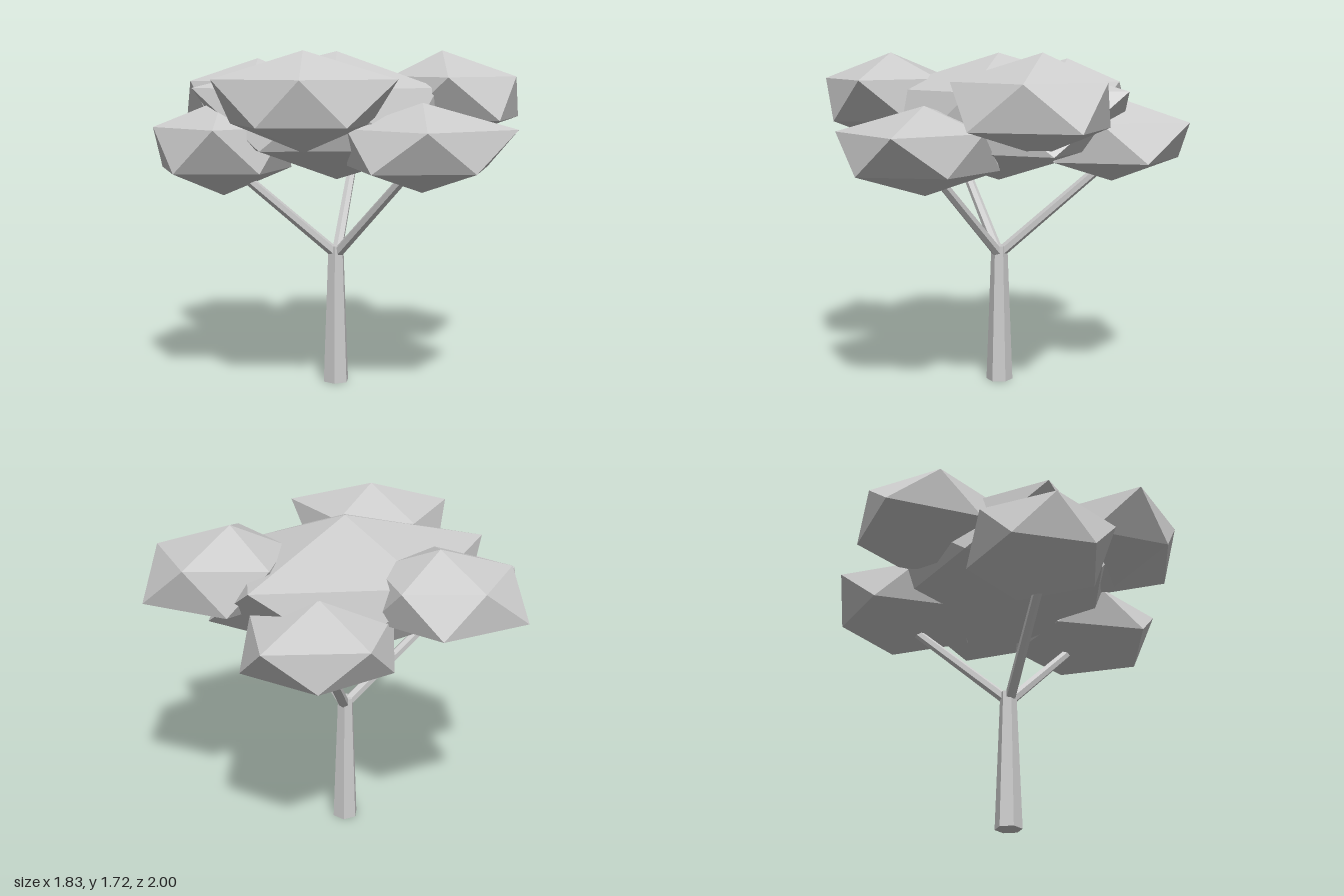
import * as THREE from 'three';

const grey = new THREE.MeshStandardMaterial({ color: 0xcccccc, flatShading: true });
grey.name = 'grey';

// Squashed, uneven icosahedron: radii run round in 36 degree steps,
// alternating between the upper and the lower ring.
function leafClump(x, y, z, h, radii) {
  const ring = radii.map((r, k) => {
    const a = (k * Math.PI) / 5;
    return [r * Math.cos(a), (k % 2 ? -0.447 : 0.447) * h, r * Math.sin(a)];
  });
  const top = [0, h, 0], bottom = [0, -h, 0];
  const pos = [];
  for (let k = 0; k < 10; k++) {
    const a = ring[k], b = ring[(k + 1) % 10], c = ring[(k + 2) % 10];
    if (k % 2) pos.push(...a, ...b, ...c, ...bottom, ...a, ...c);
    else pos.push(...a, ...c, ...b, ...top, ...c, ...a);
  }
  const geo = new THREE.BufferGeometry();
  geo.setAttribute('position', new THREE.Float32BufferAttribute(pos, 3));
  geo.computeVertexNormals();
  const mesh = new THREE.Mesh(geo, grey);
  mesh.position.set(x, y, z);
  return mesh;
}

// Tapered six-sided limb between two points
function limb(from, to, r0, r1) {
  const a = new THREE.Vector3(...from), b = new THREE.Vector3(...to);
  const dir = b.clone().sub(a);
  const mesh = new THREE.Mesh(new THREE.CylinderGeometry(r1, r0, dir.length(), 6), grey);
  mesh.position.copy(a).add(b).multiplyScalar(0.5);
  mesh.quaternion.setFromUnitVectors(new THREE.Vector3(0, 1, 0), dir.normalize());
  return mesh;
}

export function createModel() {
  const tree = new THREE.Group();
  tree.name = 'tree';
  const add = (name, mesh) => {
    mesh.name = name;
    tree.add(mesh);
  };

  // Trunk and its three branches
  add('trunk', limb([-0.04, 0, -0.005], [-0.04, 0.72, -0.005], 0.069, 0.042));
  const fork = [-0.04, 0.675, 0];
  add('frontBranch', limb(fork, [-0.1, 1.15, 0.5], 0.028, 0.024));
  add('leftBranch', limb(fork, [0.46, 1.17, -0.25], 0.028, 0.024));
  add('rightBranch', limb(fork, [-0.48, 1.13, -0.29], 0.028, 0.024));

  // Crown: one wide clump with six around it
  add('centreLeaves', leafClump(-0.04, 1.39, 0, 0.325,
    [0.74, 0.7, 0.53, 0.55, 0.58, 0.6, 0.74, 0.6, 0.65, 0.62]));
  add('backLeaves', leafClump(0.03, 1.463, -0.59, 0.217,
    [0.32, 0.33, 0.31, 0.34, 0.39, 0.38, 0.37, 0.43, 0.32, 0.34]));
  add('frontLeaves', leafClump(-0.1, 1.255, 0.56, 0.215,
    [0.34, 0.34, 0.46, 0.39, 0.42, 0.42, 0.38, 0.38, 0.38, 0.36]));
  add('leftFrontLeaves', leafClump(0.42, 1.48, 0.34, 0.24,
    [0.34, 0.44, 0.39, 0.445, 0.43, 0.35, 0.28, 0.27, 0.34, 0.32]));
  add('leftBackLeaves', leafClump(0.49, 1.285, -0.24, 0.215,
    [0.42, 0.38, 0.34, 0.4, 0.36, 0.36, 0.36, 0.36, 0.39, 0.34]));
  add('rightFrontLeaves', leafClump(-0.57, 1.48, 0.21, 0.235,
    [0.3, 0.33, 0.455, 0.35, 0.335, 0.335, 0.43, 0.37, 0.365, 0.33]));
  add('rightBackLeaves', leafClump(-0.5, 1.24, -0.36, 0.24,
    [0.34, 0.35, 0.34, 0.35, 0.39, 0.35, 0.345, 0.34, 0.325, 0.34]));

  return tree;
}
